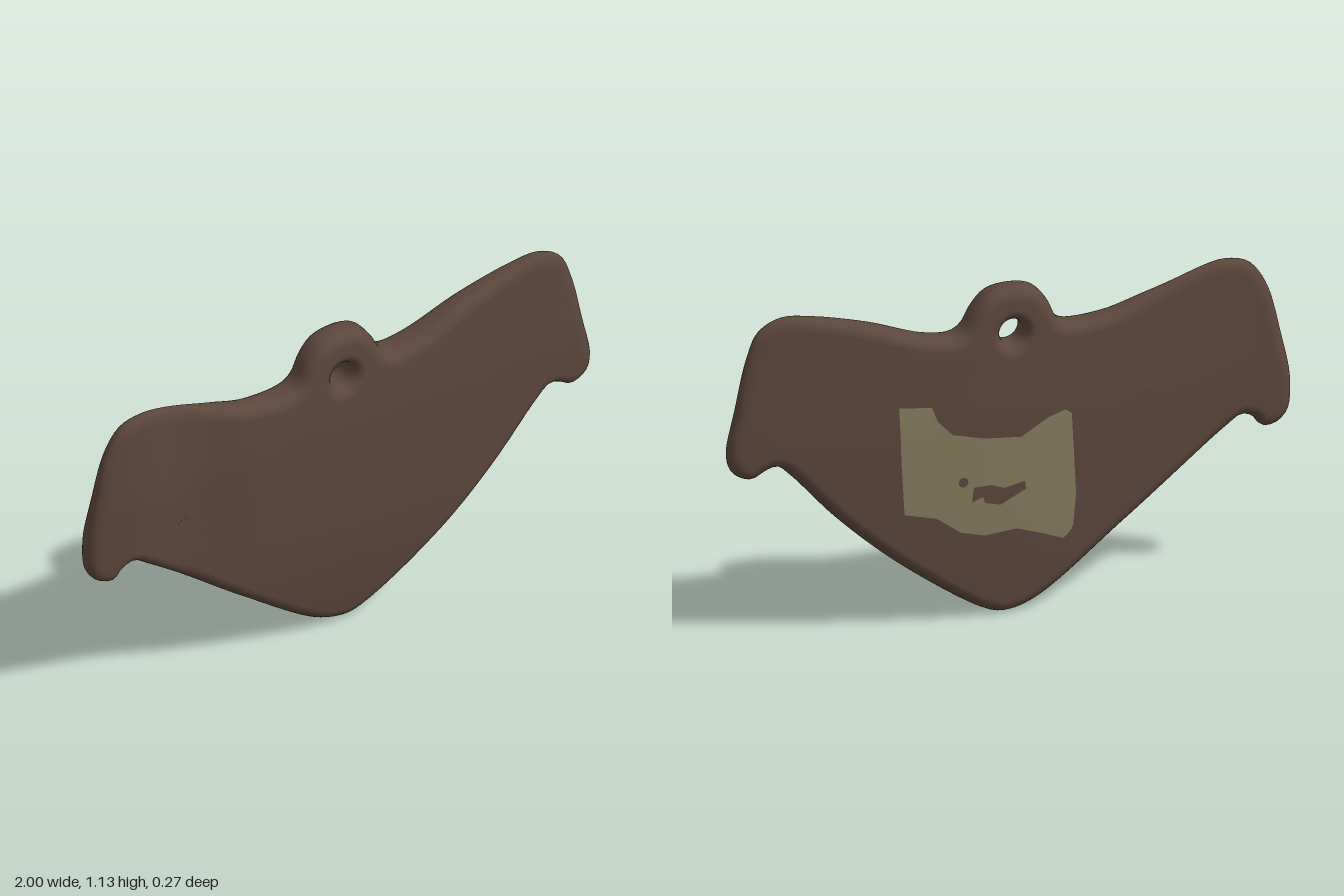
import * as THREE from 'three';
import { mergeVertices } from 'three/addons/utils/BufferGeometryUtils.js';

const points = (list) => list.map(([x, y]) => new THREE.Vector2(x, y));

// closed smooth outline through a few points
function smoothOutline(list, count) {
  const curve = new THREE.CatmullRomCurve3(
    list.map(([x, y]) => new THREE.Vector3(x, y, 0)), true, 'centripetal');
  return curve.getSpacedPoints(count).slice(0, -1).map((p) => new THREE.Vector2(p.x, p.y));
}

// depth of the front and back faces, sampled from x = -1 to 1 in even steps
const depthCurve = (values) => {
  const curve = new THREE.SplineCurve(values.map((z, i) => new THREE.Vector2(i, z)));
  return (x) => curve.getPoint(THREE.MathUtils.clamp((x + 1) / 2, 0, 1)).y;
};
const frontDepth = depthCurve([0.125, 0.13, 0.095, 0.1, 0.09, 0.075, 0.055, 0.03, 0, -0.025, -0.055]);
const backDepth = depthCurve([0.045, 0.03, 0.005, -0.03, -0.065, -0.095, -0.115, -0.127, -0.134, -0.135, -0.127]);
const tipTaper = (y) => Math.max(0, (0.45 - y) / 0.45) ** 2;
const frontZ = (x, y) => frontDepth(x) - 0.05 * tipTaper(y) - 0.08 * Math.max(0, y - 0.8);
const backZ = (x, y) => backDepth(x) + 0.02 * tipTaper(y) + 0.06 * Math.max(0, y - 0.7);

// halve long edges so a flat face can bend, then place every vertex by a rule
function bend(source, limit, rule, flip = false) {
  const geometry = source.index ? source.toNonIndexed() : source;
  const position = geometry.attributes.position;
  const out = [];
  const split = (a, b, c) => {
    const ab = a.distanceTo(b), bc = b.distanceTo(c), ca = c.distanceTo(a);
    const longest = Math.max(ab, bc, ca);
    if (longest <= limit) {
      for (const p of flip ? [a, c, b] : [a, b, c]) out.push(p.x, p.y, rule(p));
      return;
    }
    if (bc === longest) [a, b, c] = [b, c, a];
    else if (ca === longest) [a, b, c] = [c, a, b];
    const middle = a.clone().add(b).multiplyScalar(0.5);
    split(a, middle, c);
    split(middle, b, c);
  };
  for (let i = 0; i < position.count; i += 3) {
    split(...[0, 1, 2].map((k) => new THREE.Vector3().fromBufferAttribute(position, i + k)));
  }
  const bent = new THREE.BufferGeometry();
  bent.setAttribute('position', new THREE.Float32BufferAttribute(out, 3));
  const merged = mergeVertices(bent, 1e-5);
  merged.computeVertexNormals();
  return merged;
}

export function createModel() {
  const group = new THREE.Group();
  const brown = new THREE.MeshStandardMaterial({ name: 'dark brown', color: 0x5c463b });
  const olive = new THREE.MeshStandardMaterial({ name: 'pale olive', color: 0x847b5c });

  // winged plate with the hanging loop on top
  const outline = smoothOutline([
    [0.03, 0.003], [0.1, 0.022], [0.4, 0.22], [0.62, 0.41], [0.78, 0.58], [0.83, 0.62],
    [0.87, 0.61], [0.92, 0.585], [0.98, 0.61], [1, 0.67], [0.97, 0.82], [0.93, 1.0],
    [0.89, 1.09], [0.81, 1.13], [0.7, 1.12], [0.5, 1.07], [0.3, 1.0], [0.2, 0.99],
    [0.165, 1.01], [0.13, 1.07], [0.08, 1.12], [0, 1.135], [-0.08, 1.12], [-0.13, 1.07],
    [-0.165, 1.0], [-0.2, 0.98], [-0.35, 0.985], [-0.5, 1.03], [-0.7, 1.09], [-0.78, 1.1],
    [-0.86, 1.08], [-0.92, 1.0], [-0.97, 0.82], [-1, 0.66], [-0.99, 0.55], [-0.95, 0.51],
    [-0.9, 0.505], [-0.87, 0.54], [-0.83, 0.555], [-0.77, 0.52], [-0.4, 0.25], [-0.08, 0.03],
  ], 240);
  const plate = new THREE.Shape(outline);
  const eyelet = new THREE.Path();
  eyelet.absarc(0, 0.978, 0.042, 0, Math.PI * 2, true);
  plate.holes.push(eyelet);

  const bevel = 0.06, depth = 0.03;
  const solid = new THREE.ExtrudeGeometry(plate, {
    depth, curveSegments: 24, bevelEnabled: true, bevelSegments: 6,
    bevelThickness: bevel, bevelSize: 0.04, bevelOffset: -0.04,
  });
  const body = new THREE.Mesh(bend(solid, 0.1, (p) => {
    const t = (p.z + bevel) / (depth + 2 * bevel);
    return THREE.MathUtils.lerp(backZ(p.x, p.y), frontZ(p.x, p.y), t);
  }), brown);
  body.name = 'wingedPlate';
  group.add(body);

  // worn patch on the back, with two bare spots
  const patchShape = new THREE.Shape(points([
    [0.415, 0.784], [0.3, 0.772], [0.28, 0.72], [0.227, 0.667], [0.114, 0.639], [-0.017, 0.625],
    [-0.114, 0.677], [-0.18, 0.695], [-0.2, 0.68], [-0.216, 0.394], [-0.205, 0.27], [-0.17, 0.242],
    [-0.085, 0.276], [0, 0.305], [0.114, 0.297], [0.2, 0.32], [0.284, 0.381], [0.398, 0.409],
    [0.409, 0.6],
  ]));
  const spot = new THREE.Path();
  spot.absarc(0.19, 0.495, 0.017, 0, Math.PI * 2, true);
  patchShape.holes.push(spot, new THREE.Path(points([
    [0.153, 0.472], [0.09, 0.472], [0.045, 0.455], [-0.03, 0.468], [-0.034, 0.44],
    [0.057, 0.398], [0.114, 0.412], [0.12, 0.435], [0.16, 0.42],
  ])));
  const patch = new THREE.Mesh(
    bend(new THREE.ShapeGeometry(patchShape), 0.1, (p) => backZ(p.x, p.y) - 0.004, true), olive);
  patch.name = 'backPatch';
  group.add(patch);

  return group;
}
